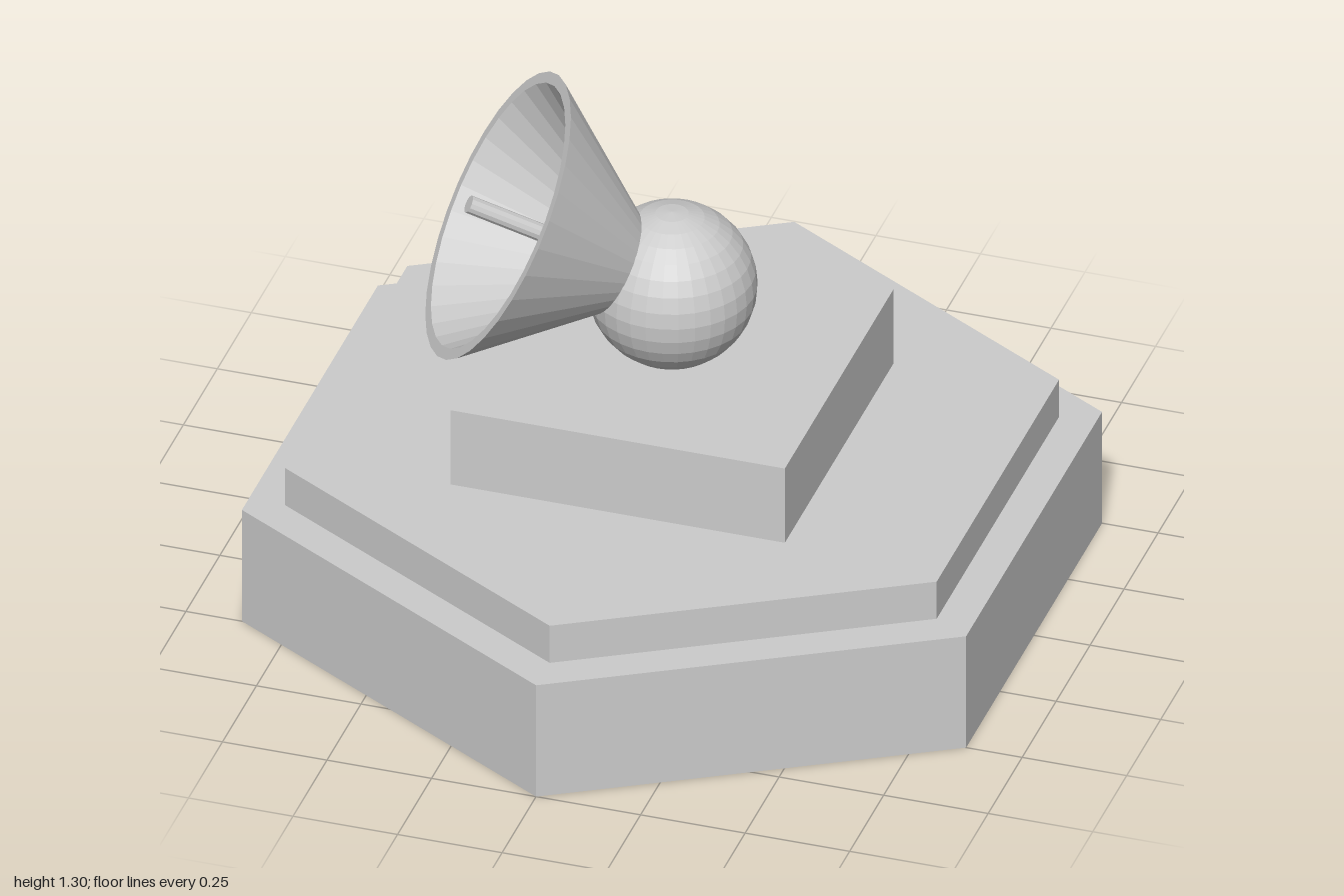
import * as THREE from 'three';

const material = new THREE.MeshStandardMaterial({ color: 0xcccccc, flatShading: true, side: THREE.DoubleSide });

function part(name, geometry, parent, y = 0) {
  const mesh = new THREE.Mesh(geometry, material);
  mesh.name = name;
  mesh.position.y = y;
  parent.add(mesh);
  return mesh;
}

export function createModel() {
  const model = new THREE.Group();
  model.name = 'dishTurret';

  // Stepped base: two hexagonal slabs and a square plinth
  part('lowerSlab', new THREE.CylinderGeometry(1, 1, 0.3, 6), model, 0.15);
  part('upperSlab', new THREE.CylinderGeometry(0.9, 0.9, 0.1, 6), model, 0.35);
  part('plinth', new THREE.BoxGeometry(0.8, 0.2, 0.8), model, 0.5);

  // Ball joint, sunk slightly into the plinth
  const pivotY = 0.777;
  part('ballJoint', new THREE.SphereGeometry(0.195, 32, 16), model, pivotY);

  // Dish assembly: built along +y from the ball centre, then aimed
  const dish = new THREE.Group();
  dish.name = 'dish';
  dish.position.y = pivotY;
  const aim = new THREE.Vector3(-0.81, 0.465, 0.355).normalize();
  dish.quaternion.setFromUnitVectors(new THREE.Vector3(0, 1, 0), aim);
  model.add(dish);

  // Hollow cone with a flat rim
  const profile = [[0.093, 0.1], [0.35, 0.449], [0.323, 0.449], [0.066, 0.1], [0.093, 0.1]];
  part('horn', new THREE.LatheGeometry(profile.map(([r, y]) => new THREE.Vector2(r, y)), 32), dish);

  // Receiver rod on the dish axis
  part('receiverRod', new THREE.CylinderGeometry(0.021, 0.021, 0.42, 12), dish, 0.315);

  return model;
}
